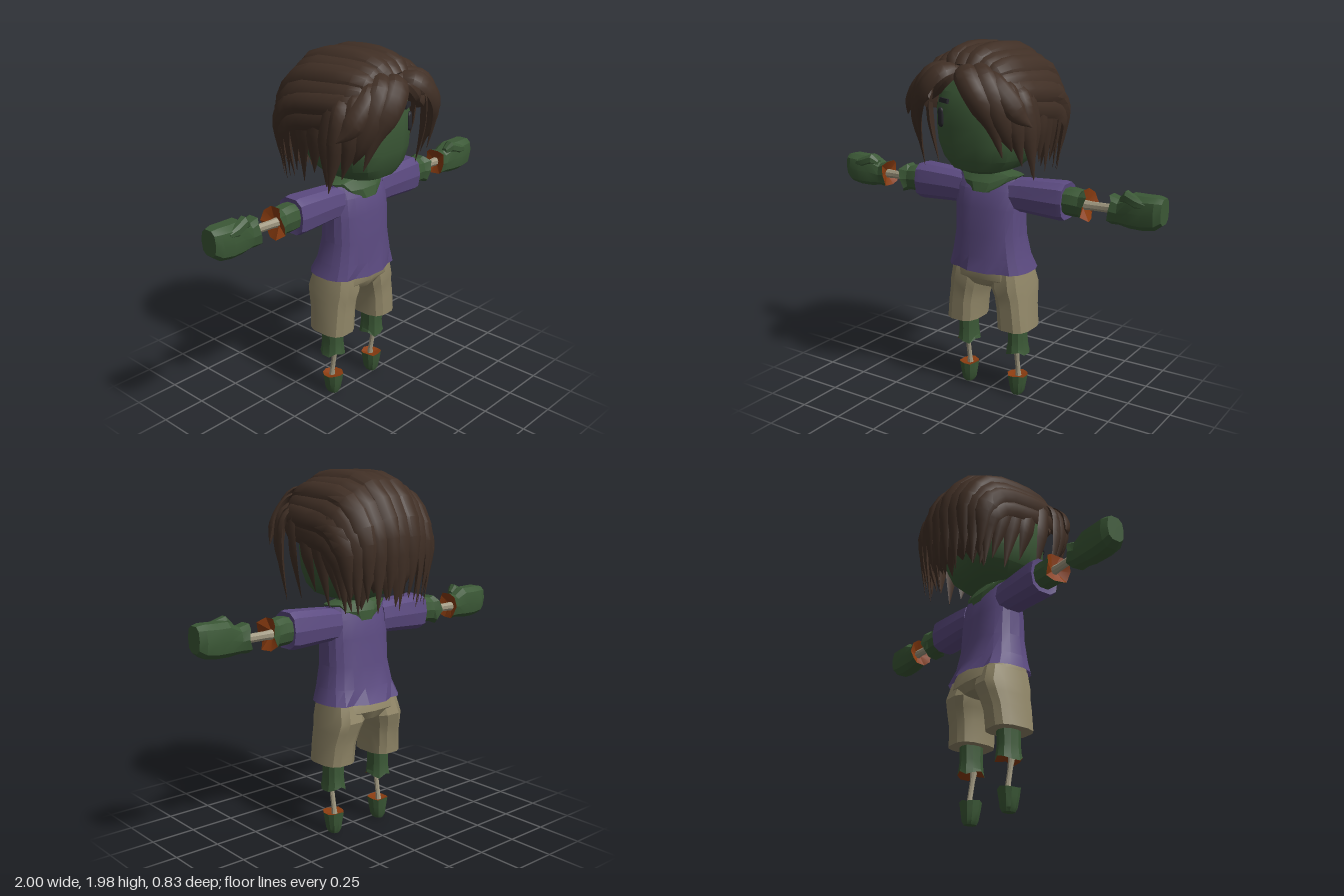
import * as THREE from 'three';
import { toCreasedNormals } from 'three/addons/utils/BufferGeometryUtils.js';

const mat = (name, color) => Object.assign(new THREE.MeshStandardMaterial({ color }), { name });
const V = (x, y, z) => new THREE.Vector3(x, y, z);

// Skin rings of equal length into one surface that faces outwards
function loft(rings, { capA = true, capB = true, crease = 0.35 } = {}) {
  const n = rings[0].length, pts = rings.flat().map(p => p.clone()), tris = [];
  for (let r = 0; r < rings.length - 1; r++) for (let i = 0; i < n; i++) {
    const a = r * n + i, b = r * n + (i + 1) % n, c = a + n, d = b + n;
    tris.push([a, c, b], [b, c, d]);
  }
  const cap = (ring, base, flip) => {
    const m = ring.reduce((s, p) => s.add(p), V(0, 0, 0)).divideScalar(n);
    const k = pts.push(m) - 1;
    for (let i = 0; i < n; i++) {
      const a = base + i, b = base + (i + 1) % n;
      tris.push(flip ? [k, b, a] : [k, a, b]);
    }
  };
  if (capA) cap(rings[0], 0, false);
  if (capB) cap(rings[rings.length - 1], (rings.length - 1) * n, true);
  const mid = pts.reduce((s, p) => s.add(p), V(0, 0, 0)).divideScalar(pts.length);
  let vol = 0;
  for (const [a, b, c] of tris) {
    const [p, q, r] = [a, b, c].map(k => pts[k].clone().sub(mid));
    vol += p.dot(q.cross(r));
  }
  const geo = new THREE.BufferGeometry().setFromPoints(pts);
  geo.setIndex(tris.flatMap(([a, b, c]) => vol < 0 ? [a, c, b] : [a, b, c]));
  return toCreasedNormals(geo, crease);
}

// Rounded-square cross-section at height y; jag makes a torn edge
function section([y, cx, cz, rx, rz, jag = 0], n = 12, e = 2.6, map = (x, h, z) => V(x, h, z)) {
  return Array.from({ length: n }, (_, i) => {
    const t = (i + 0.5) / n * Math.PI * 2, c = Math.cos(t), s = Math.sin(t);
    const f = v => Math.sign(v) * Math.abs(v) ** (2 / e);
    return map(cx + rx * f(c), y + jag * ((i * 5) % 3 - 1), cz + rz * f(s));
  });
}
const stack = (rows, n, e, map) => rows.map(r => section(r, n, e, map));

// Tapered hair lock along a curve, its ridge turned away from the head
function lock(points, w, t) {
  const curve = new THREE.CatmullRomCurve3(points.map(p => V(...p)));
  const heart = V(0, 1.6, -0.04), steps = 14, rings = [];
  const shape = [[-1, 0], [-0.65, 0.7], [0, 1], [0.65, 0.7], [1, 0], [0, -0.5]];
  for (let i = 0; i <= steps; i++) {
    const u = i / steps, p = curve.getPoint(u), T = curve.getTangent(u);
    const N = p.clone().sub(heart);
    N.addScaledVector(T, -N.dot(T)).normalize();
    const B = T.clone().cross(N);
    const k = Math.min(1, 0.55 + u * 1.8) * Math.min(1, (1 - u) * 2.8 + 0.03);
    rings.push(shape.map(([a, b]) => p.clone().addScaledVector(B, a * w * k).addScaledVector(N, b * t * k)));
  }
  return loft(rings, { crease: 0.6 });
}

export function createModel() {
  const model = new THREE.Group();
  const skin = mat('green skin', 0x3b5836), hair = mat('brown hair', 0x402f25);
  const cloth = mat('purple cloth', 0x5b4a80), khaki = mat('khaki cloth', 0x918768);
  const boneMat = mat('bone', 0xa09880), flesh = mat('torn flesh', 0x8a3c10), dark = mat('eye black', 0x26262b);
  flesh.side = cloth.side = THREE.DoubleSide;
  const add = (name, geo, m) => {
    const mesh = new THREE.Mesh(geo, m);
    mesh.name = name;
    model.add(mesh);
    return mesh;
  };

  // Head and neck
  add('head', loft(stack([
    [1.3, 0, 0.03, 0.1, 0.13], [1.325, 0, 0.025, 0.17, 0.19], [1.38, 0, 0.01, 0.225, 0.235],
    [1.46, 0, 0.002, 0.255, 0.262], [1.55, 0, 0, 0.265, 0.268], [1.63, 0, 0, 0.265, 0.268],
    [1.73, 0, -0.01, 0.25, 0.255], [1.81, 0, -0.02, 0.2, 0.21], [1.87, 0, -0.04, 0.1, 0.11]], 16), { crease: 0.5 }), skin);
  add('neck', loft(stack([
    [1.19, 0, 0, 0.1, 0.116], [1.24, 0, -0.005, 0.155, 0.108], [1.279, 0, -0.01, 0.195, 0.08],
    [1.295, 0, -0.01, 0.11, 0.07], [1.36, 0, 0, 0.09, 0.08]], 12)), skin);

  // Shirt body with pleats pinched into the hem
  const body = stack([
    [0.748, 0, -0.027, 0.247, 0.18], [0.83, 0, -0.012, 0.222, 0.152], [0.95, 0, -0.005, 0.2, 0.135],
    [1.1, 0, -0.003, 0.201, 0.125], [1.2, 0, -0.005, 0.195, 0.107], [1.27, 0, -0.012, 0.185, 0.075]], 20);
  for (const p of body[0]) if (Math.abs(Math.abs(p.x) - 0.13) < 0.035) p.z *= 0.85;
  add('shirt body', loft(body, { capA: false }), cloth);

  // Shorts
  add('shorts hips', loft(stack([
    [0.64, 0, -0.03, 0.05, 0.08], [0.655, 0, -0.035, 0.12, 0.125], [0.7, 0, -0.033, 0.225, 0.15],
    [0.77, 0, -0.025, 0.222, 0.142], [0.83, 0, -0.015, 0.19, 0.12]], 14, 3), { crease: 0.6 }), khaki);

  for (const s of [1, -1]) {
    const side = s > 0 ? 'left ' : 'right ';
    const leg = (x, y, z) => V(s * x, y, z);
    const arm = (x, y, z) => V(s * y, 1.18 + x, z);

    add(side + 'shorts leg', loft(stack([
      [0.415, 0.168, -0.022, 0.095, 0.12], [0.53, 0.159, -0.025, 0.092, 0.126],
      [0.6, 0.148, -0.035, 0.095, 0.137], [0.655, 0.134, -0.038, 0.103, 0.15],
      [0.75, 0.12, -0.028, 0.1, 0.132]], 12, 3, leg), { crease: 0.5 }), khaki);

    // Torn shin, bare bone and foot stump
    const shin = stack([[0.45, 0.165, -0.024, 0.053, 0.066], [0.34, 0.165, -0.024, 0.051, 0.062],
      [0.29, 0.165, -0.025, 0.055, 0.067], [0.265, 0.165, -0.025, 0.062, 0.071, 0.012]], 10, 2.4, leg);
    add(side + 'shin', loft(shin, { capB: false }), skin);
    add(side + 'shin wound', loft([shin[3], section([0.285, 0.165, -0.02, 0.02, 0.02], 10, 2, leg)], { capA: false }), flesh);
    add(side + 'leg bone', loft(stack([[0.09, 0.165, -0.035, 0.02, 0.02], [0.14, 0.165, -0.03, 0.014, 0.014],
      [0.23, 0.165, -0.015, 0.014, 0.014], [0.3, 0.165, -0.004, 0.021, 0.021]], 8, 2, leg)), boneMat);
    const foot = stack([[0, 0.165, -0.027, 0.026, 0.034], [0.02, 0.165, -0.027, 0.038, 0.043],
      [0.075, 0.165, -0.025, 0.048, 0.051], [0.12, 0.165, -0.025, 0.055, 0.057, 0.004]], 10, 2.4, leg);
    add(side + 'foot', loft(foot, { capB: false }), skin);
    add(side + 'foot wound', loft([foot[3], section([0.108, 0.165, -0.03, 0.02, 0.02], 10, 2, leg)], { capA: false }), flesh);

    // Sleeve with a turned-in cuff
    add(side + 'sleeve', loft(stack([
      [0.15, -0.005, -0.01, 0.088, 0.085], [0.22, -0.002, -0.013, 0.091, 0.086], [0.44, -0.002, -0.015, 0.103, 0.092],
      [0.468, -0.002, -0.015, 0.098, 0.088], [0.462, -0.002, -0.015, 0.065, 0.065]], 10, 2.8, arm)), cloth);

    // Torn forearm, bare bone and fist
    const fore = stack([[0.44, 0, -0.015, 0.07, 0.067], [0.5, 0, -0.015, 0.075, 0.069],
      [0.55, -0.005, -0.02, 0.071, 0.067], [0.585, -0.007, -0.02, 0.085, 0.081, 0.016]], 10, 2.4, arm);
    add(side + 'forearm', loft(fore, { capB: false }), skin);
    add(side + 'forearm wound', loft([fore[3], section([0.558, -0.01, -0.025, 0.02, 0.02], 10, 2, arm)], { capA: false }), flesh);
    add(side + 'arm bone', loft(stack([[0.54, -0.01, -0.022, 0.028, 0.024], [0.6, -0.01, -0.024, 0.024, 0.017],
      [0.7, -0.01, -0.03, 0.024, 0.017], [0.76, -0.01, -0.03, 0.028, 0.024]], 8, 2, arm)), boneMat);
    const hand = stack([[0.722, -0.004, -0.02, 0.076, 0.068, 0.01], [0.765, -0.01, -0.018, 0.067, 0.06],
      [0.83, 0.004, -0.013, 0.09, 0.069], [0.9, 0.004, -0.011, 0.09, 0.073],
      [0.965, 0.01, -0.011, 0.086, 0.07], [1.0, 0.02, -0.011, 0.068, 0.053]], 10, 2.8, arm);
    add(side + 'hand', loft(hand, { capA: false }), skin);
    add(side + 'hand wound', loft([hand[0], section([0.745, -0.01, -0.028, 0.02, 0.02], 10, 2, arm)], { capA: false }), flesh);
    add(side + 'thumb', loft(stack([[0.775, 0.055, 0.01, 0.018, 0.018], [0.81, 0.077, 0.02, 0.034, 0.034],
      [0.87, 0.056, 0.035, 0.032, 0.028], [0.92, 0.048, 0.04, 0.016, 0.016]], 8, 2.4, arm)), skin);

    // Eye and brow
    const eye = add(side + 'eye', toCreasedNormals(new THREE.CapsuleGeometry(0.023, 0.058, 4, 10), 0.6), dark);
    eye.scale.z = 0.5;
    eye.position.set(s * 0.155, 1.595, 0.238);
    eye.rotation.y = s * 0.4;
    const brow = add(side + 'brow', new THREE.BoxGeometry(0.066, 0.024, 0.02), dark);
    brow.position.set(s * 0.13, 1.682, 0.238);
    brow.rotation.set(-0.15, s * 0.32, s * 0.1);

    // Fringe: parted in the middle and swept outwards
    const fringe = [
      [[[0.01, 1.86, 0.25], [0.07, 1.85, 0.35], [0.15, 1.76, 0.385], [0.22, 1.62, 0.34], [0.25, 1.43, 0.28]], 0.06],
      [[[0.0, 1.88, 0.24], [0.04, 1.83, 0.31], [0.11, 1.76, 0.31], [0.18, 1.69, 0.275]], 0.045],
      [[[0.06, 1.88, 0.23], [0.15, 1.84, 0.32], [0.23, 1.72, 0.335], [0.275, 1.55, 0.28], [0.28, 1.46, 0.24]], 0.06],
      [[[0.1, 1.86, 0.2], [0.2, 1.81, 0.29], [0.29, 1.72, 0.29], [0.34, 1.64, 0.26], [0.385, 1.59, 0.22]], 0.055],
      [[[0.17, 1.83, 0.18], [0.27, 1.74, 0.26], [0.305, 1.58, 0.25], [0.31, 1.38, 0.19]], 0.055],
      [[[0.22, 1.8, 0.16], [0.31, 1.72, 0.19], [0.34, 1.55, 0.18], [0.345, 1.3, 0.13]], 0.05]];
    fringe.forEach(([pts, w], i) =>
      add(side + 'fringe lock ' + (i + 1), lock(pts.map(([x, y, z]) => [s * x, y, z]), w, 0.028), hair));

    // Locks hanging beside the face
    [[0.1, 1.31], [0.0, 1.36], [-0.09, 1.29], [-0.16, 1.33], [-0.23, 1.28]].forEach(([z, tip], i) =>
      add(side + 'side lock ' + (i + 1), lock([[s * 0.25, 1.82, z + 0.06], [s * 0.3, 1.7, z + 0.03],
        [s * (0.315 - i * 0.01), 1.54, z], [s * (0.295 - i * 0.015), tip, z - 0.03]], 0.055, 0.026), hair));
  }

  // Hair cap under the locks
  const cap = add('hair cap', new THREE.SphereGeometry(1, 20, 14), hair);
  cap.scale.set(0.285, 0.275, 0.275);
  cap.position.set(0, 1.67, -0.095);

  // Long locks swept from the hairline over the crown and down the back
  const count = 13;
  for (let i = 0; i < count; i++) {
    const a = (i / (count - 1) - 0.5) * Math.PI, s = Math.sin(a), c = Math.cos(a), odd = i % 2;
    add('crown lock ' + (i + 1), lock([
      [0.21 * s, 1.72 + 0.15 * c, 0.285 - 0.035 * Math.abs(s)], [0.265 * s, 1.7 + 0.223 * c, 0.22],
      [0.31 * s, 1.665 + (0.28 + odd * 0.008) * c, 0.02], [0.315 * s, 1.63 + 0.28 * c, -0.17 - 0.06 * c],
      [0.305 * s, 1.56 + 0.15 * c, -0.24 - 0.13 * c], [0.29 * s, 1.46 + 0.04 * c, -0.25 - 0.135 * c],
      [0.265 * s, 1.27 + odd * 0.06, -0.25 - 0.11 * c]], 0.066, 0.025 + odd * 0.01), hair);
  }

  // Under-layer filling the nape
  for (let i = 0; i < 8; i++) {
    const x = (i - 3.5) * 0.065, z = -0.33 + Math.abs(x) * 0.35;
    add('nape lock ' + (i + 1), lock([[x, 1.75, z + 0.02], [x * 1.05, 1.58, z - 0.01],
      [x * 1.05, 1.44, z], [x, 1.28 + (i % 3) * 0.04, z + 0.02]], 0.06, 0.022), hair);
  }
  return model;
}
